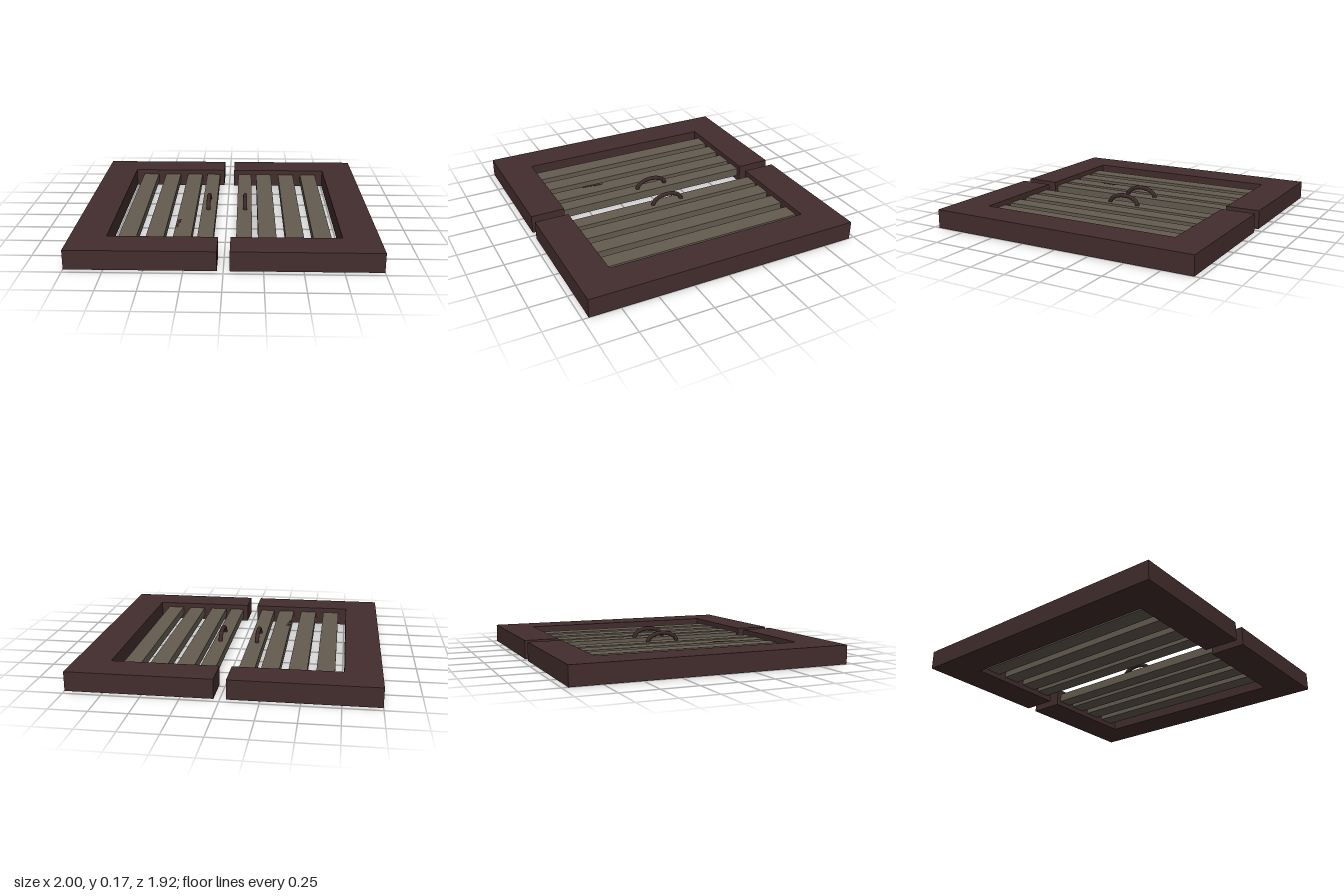
import * as THREE from 'three';

const mat = (name, color, side = THREE.FrontSide) => {
  const m = new THREE.MeshStandardMaterial({ color, side });
  m.name = name;
  return m;
};

// Extrude an outline given as [x, z] points upward from y0
function slab(points, y0, height) {
  const shape = new THREE.Shape(points.map(([x, z]) => new THREE.Vector2(x, -z)));
  const geo = new THREE.ExtrudeGeometry(shape, { depth: height, bevelEnabled: false });
  return geo.rotateX(-Math.PI / 2).translate(0, y0, 0);
}

function add(parent, name, geometry, material) {
  const mesh = new THREE.Mesh(geometry, material);
  mesh.name = name;
  parent.add(mesh);
  return mesh;
}

export function createModel() {
  const darkWood = mat('darkWood', 0x432d2d);
  const greyWood = mat('greyWood', 0x645c50);
  const handleBrown = mat('handleBrown', 0x3c2829);

  const model = new THREE.Group();
  model.name = 'doubleHatch';

  const plankTop = 0.095, plankHeight = 0.06, innerZ = 0.72;
  const planks = [[0.075, 0.18], [0.22, 0.34], [0.4, 0.52], [0.58, 0.7]];

  for (const s of [-1, 1]) {
    const door = new THREE.Group();
    door.name = s < 0 ? 'rightDoor' : 'leftDoor';
    model.add(door);

    // C-shaped frame, open towards the middle
    const outline = [
      [0.04, -0.96], [1, -0.96], [1, 0.96], [0.04, 0.96],
      [0.04, innerZ], [0.76, innerZ], [0.76, -innerZ], [0.04, -innerZ],
    ].map(([x, z]) => [s * x, z]);
    add(door, 'frame', slab(outline, 0, 0.13), darkWood);

    // Recessed slats
    planks.forEach(([a, b], i) => {
      const geo = new THREE.BoxGeometry(b - a, plankHeight, innerZ * 2);
      const plank = add(door, `plank${i + 1}`, geo, greyWood);
      plank.position.set(s * (a + b) / 2, plankTop - plankHeight / 2, 0);
    });

    // Arched pull handle
    const points = [];
    for (let i = 0; i <= 12; i++) {
      const a = Math.PI * i / 12;
      points.push(new THREE.Vector3(0, 0.09 + 0.065 * Math.sin(a), 0.112 * Math.cos(a)));
    }
    const tube = new THREE.TubeGeometry(new THREE.CatmullRomCurve3(points), 24, 0.015, 10);
    add(door, 'handle', tube, handleBrown).position.x = s * 0.132;
  }

  // Small worn patch on one slat
  const patch = [[-0.335, 0.34], [-0.318, 0.315], [-0.31, 0.33], [-0.313, 0.38],
    [-0.322, 0.42], [-0.322, 0.465], [-0.337, 0.47], [-0.339, 0.44], [-0.33, 0.39]];
  add(model, 'wornPatch', slab(patch, plankTop - 0.001, 0.003), darkWood);

  return model;
}
